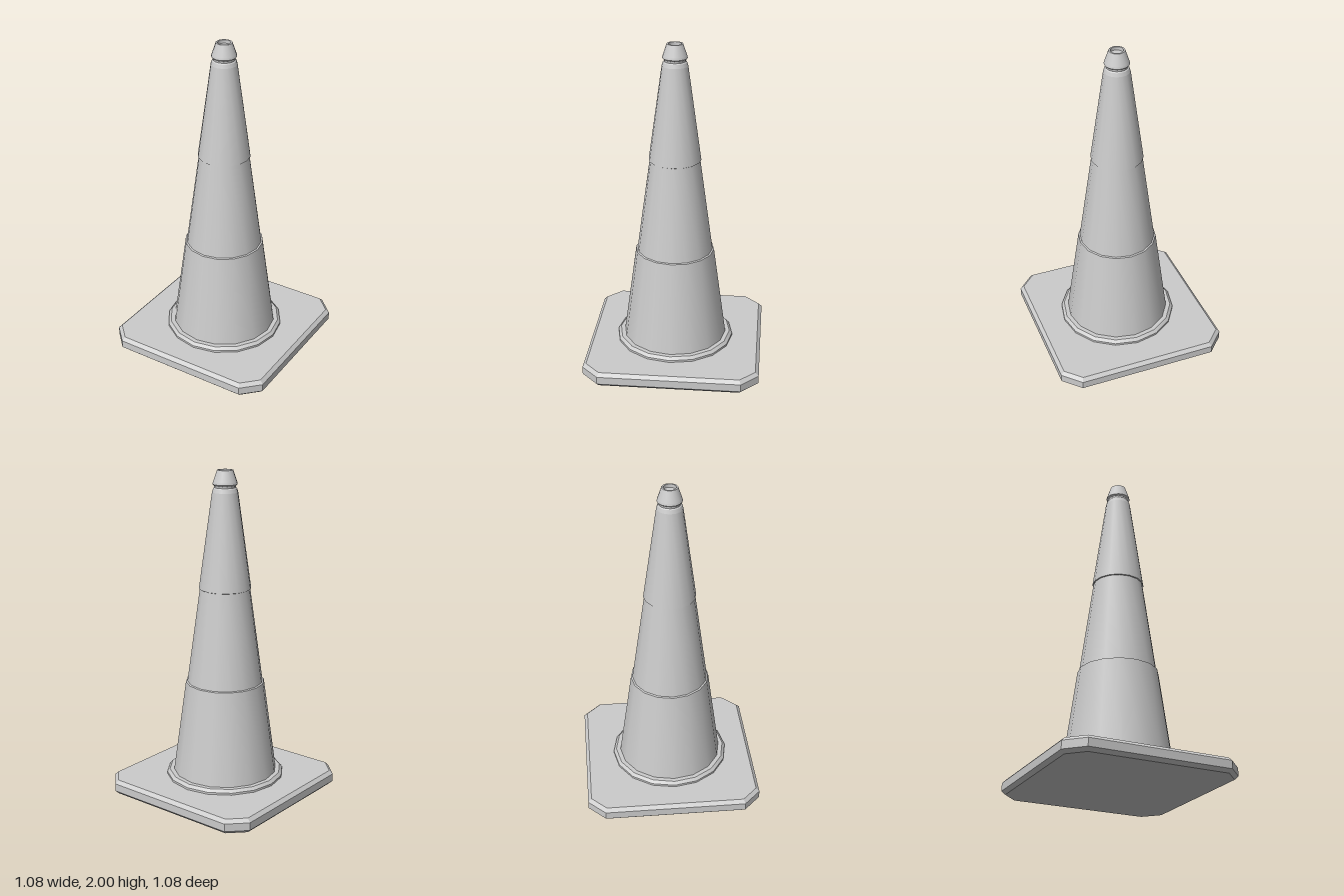
import * as THREE from 'three';
import { mergeGeometries } from 'three/addons/utils/BufferGeometryUtils.js';

const SIDES = 16;
const material = new THREE.MeshStandardMaterial({ color: 0xcccccc });

// Lathes each profile segment on its own: smooth around, crisp between bands
function turned(name, profile) {
  const bands = [];
  for (let i = 0; i < profile.length - 1; i++) {
    const pair = [profile[i], profile[i + 1]].map(([r, y]) => new THREE.Vector2(r, y));
    bands.push(new THREE.LatheGeometry(pair, SIDES));
  }
  const mesh = new THREE.Mesh(mergeGeometries(bands), material);
  mesh.name = name;
  return mesh;
}

// Square plate with cut corners and bevelled top and bottom edges
function basePlate() {
  const h = 0.54, c = 0.435, bevel = 0.021, height = 0.09;
  const outline = new THREE.Shape([
    [h, -c], [h, c], [c, h], [-c, h], [-h, c], [-h, -c], [-c, -h], [c, -h],
  ].map(([x, y]) => new THREE.Vector2(x, y)));
  const geometry = new THREE.ExtrudeGeometry(outline, {
    depth: height - 2 * bevel,
    bevelEnabled: true,
    bevelSegments: 1,
    bevelSize: bevel,
    bevelThickness: bevel,
    bevelOffset: -bevel,
  });
  geometry.rotateX(-Math.PI / 2).translate(0, bevel, 0);
  const mesh = new THREE.Mesh(geometry, material);
  mesh.name = 'basePlate';
  return mesh;
}

export function createModel() {
  const model = new THREE.Group();
  model.name = 'trafficCone';
  model.add(basePlate());

  const cone = new THREE.Group();
  cone.name = 'cone';
  cone.position.z = 0.01;
  cone.add(
    // Raised ring where the cone meets the plate
    turned('footRing', [[0.367, 0.085], [0.367, 0.103], [0.35, 0.12], [0.31, 0.12]]),
    // Three stacked sleeves with small steps between them
    turned('lowerSleeve', [[0.323, 0.12], [0.243, 0.7], [0.23, 0.705]]),
    turned('middleSleeve', [[0.234, 0.7], [0.153, 1.29]]),
    turned('upperSleeve', [[0.153, 1.287], [0.159, 1.29], [0.078, 1.87], [0.071, 1.892], [0.062, 1.9]]),
    // Flared tip with a shallow socket in the top
    turned('tip', [[0.064, 1.895], [0.066, 1.908], [0.075, 1.918], [0.072, 1.93], [0.048, 2],
      [0.038, 2], [0.038, 1.98], [0, 1.98]]),
  );
  model.add(cone);
  return model;
}
